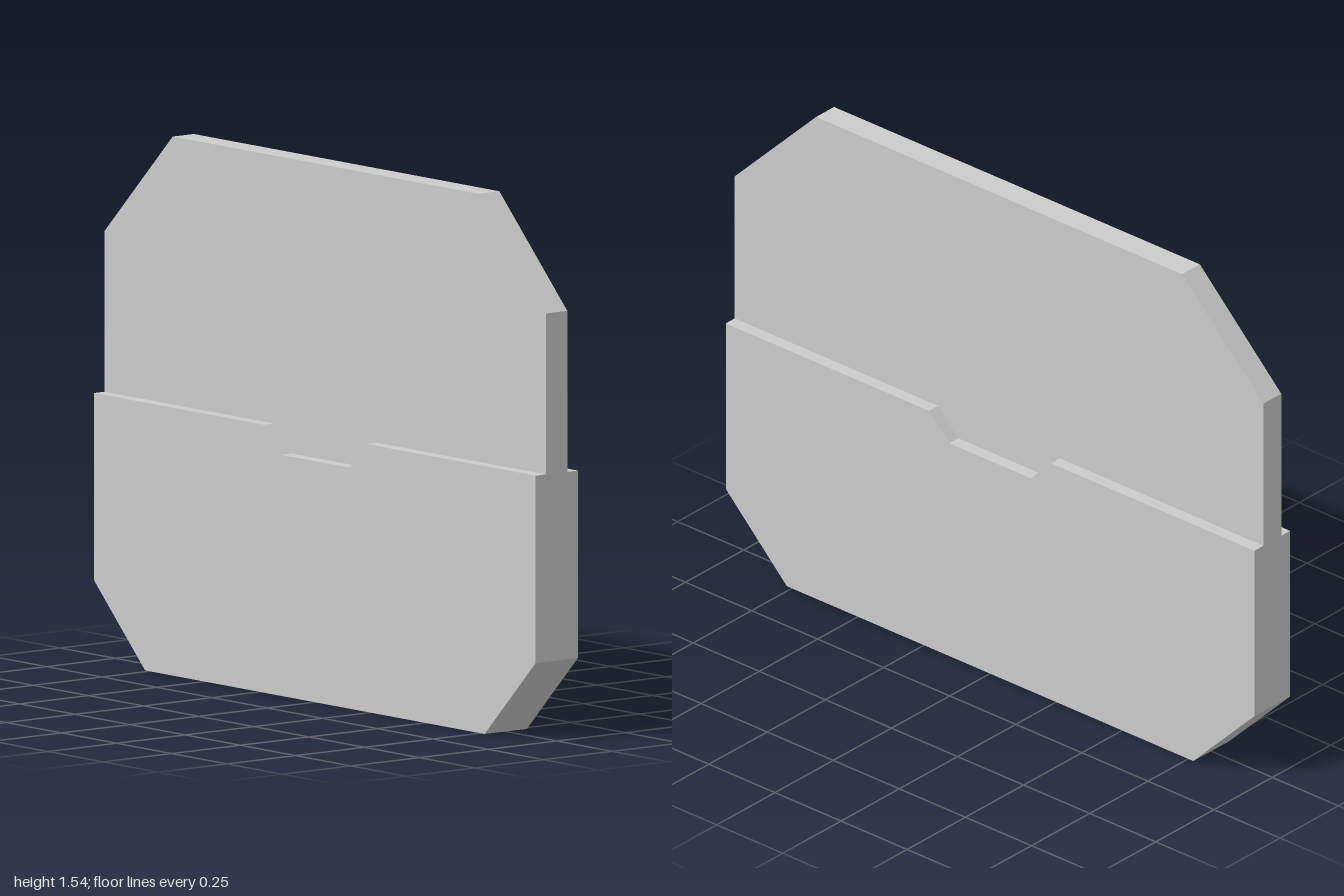
import * as THREE from 'three';

// Flat plate cut from a symmetric outline and centred on z = 0
function plate(name, points, thickness, material) {
  const shape = new THREE.Shape(points.map(([x, y]) => new THREE.Vector2(x, y)));
  const geometry = new THREE.ExtrudeGeometry(shape, { depth: thickness, bevelEnabled: false });
  geometry.translate(0, 0, -thickness / 2);
  const mesh = new THREE.Mesh(geometry, material);
  mesh.name = name;
  return mesh;
}

// Mirror the right half of a line (listed from the outside in) to the other side
const mirrored = (half) => [...half, ...half.map(([x, y]) => [-x, y]).reverse()];

export function createModel() {
  const group = new THREE.Group();
  group.name = 'steppedPlate';
  const material = new THREE.MeshStandardMaterial({ color: 0xcccccc, flatShading: true });

  // Shared seam with the shallow notch in the middle
  const seam = mirrored([[1, 0.769], [0.231, 0.769], [0.154, 0.692]]);

  // Thick lower half with chamfered bottom corners
  const bottom = [[-1, 0.231], [-0.769, 0], [0.769, 0], [1, 0.231]];
  group.add(plate('lowerPlate', [...seam, ...bottom], 0.154, material));

  // Thin upper half with chamfered top corners
  const top = mirrored([[1, 1.231], [0.692, 1.538]]);
  group.add(plate('upperPlate', [...[...seam].reverse(), ...top], 0.077, material));

  return group;
}
